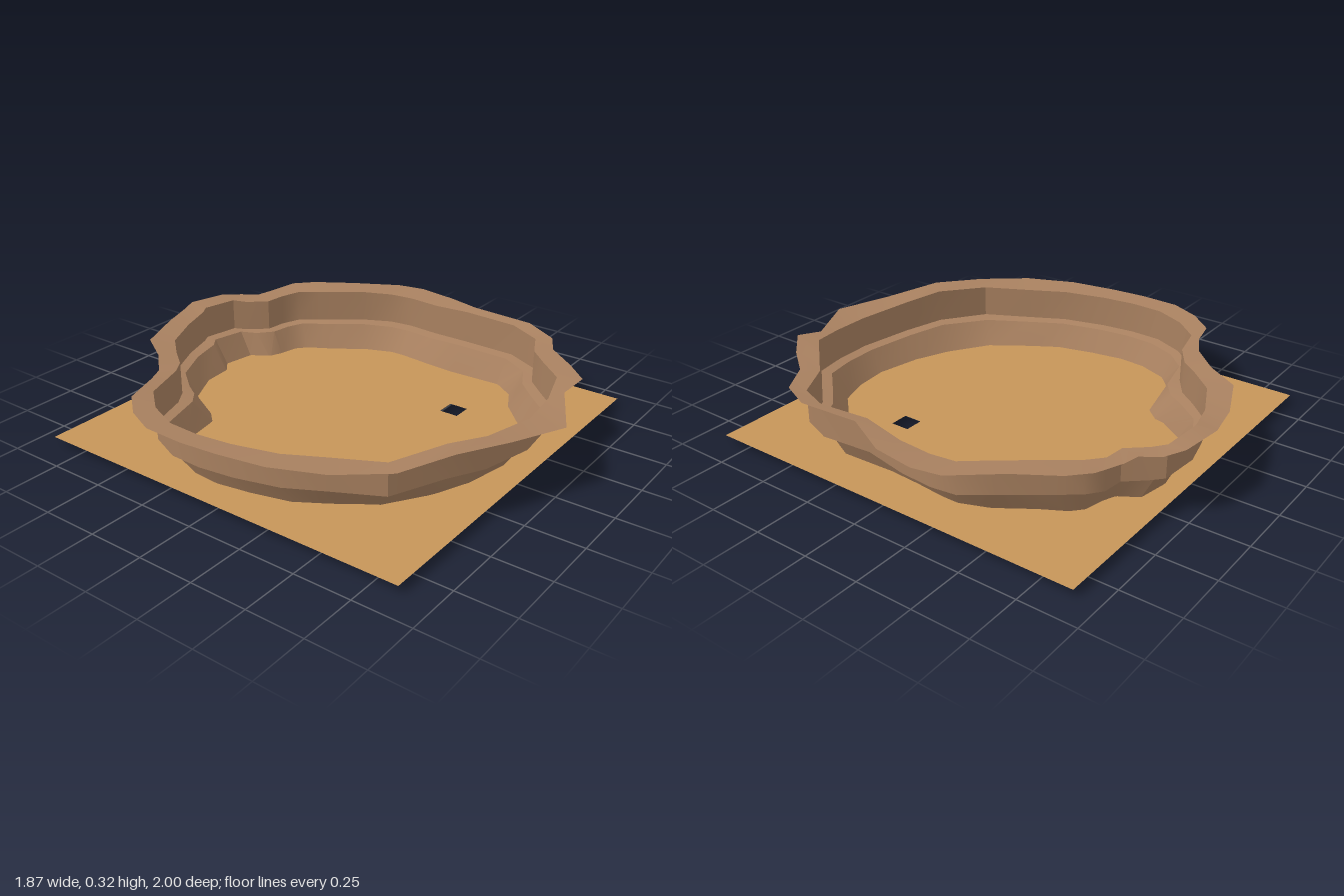
import * as THREE from 'three';
import { toCreasedNormals } from 'three/addons/utils/BufferGeometryUtils.js';

// Plan outlines as x, z pairs, running from the back round by the +x side
const RIM = [
  0.08, -1, 0.26, -0.97, 0.335, -0.92, 0.39, -0.845, 0.46, -0.83, 0.59, -0.79, 0.67, -0.715,
  0.775, -0.55, 0.91, -0.36, 0.935, -0.235, 0.91, -0.05, 0.83, 0.13, 0.835, 0.415, 0.76, 0.57,
  0.63, 0.64, 0.525, 0.775, 0.41, 0.885, 0.29, 0.865, 0.04, 1, -0.2, 0.9, -0.435, 0.8,
  -0.645, 0.685, -0.795, 0.5, -0.885, 0.285, -0.92, 0.08, -0.935, -0.085, -0.93, -0.265, -0.87, -0.4,
  -0.775, -0.51, -0.625, -0.55, -0.535, -0.6, -0.425, -0.715, -0.33, -0.865, -0.115, -0.955, 0, -0.98,
];
const WALL = [
  0.08, -0.91, 0.25, -0.89, 0.29, -0.84, 0.36, -0.76, 0.45, -0.75, 0.525, -0.705, 0.59, -0.62,
  0.715, -0.455, 0.795, -0.33, 0.81, -0.22, 0.8, -0.07, 0.775, 0.12, 0.785, 0.36, 0.725, 0.505,
  0.58, 0.575, 0.495, 0.665, 0.38, 0.785, 0.22, 0.83, 0.04, 0.845, -0.2, 0.795, -0.37, 0.725,
  -0.585, 0.61, -0.685, 0.415, -0.77, 0.255, -0.82, 0.065, -0.84, -0.09, -0.835, -0.235, -0.775, -0.375,
  -0.68, -0.485, -0.5, -0.535, -0.415, -0.595, -0.35, -0.68, -0.255, -0.785, -0.085, -0.865, 0.05, -0.9,
];
const FOOT = [
  0.11, -0.81, 0.25, -0.785, 0.3, -0.705, 0.36, -0.68, 0.445, -0.66, 0.49, -0.62, 0.555, -0.505,
  0.64, -0.38, 0.69, -0.25, 0.69, -0.185, 0.68, -0.07, 0.67, 0.105, 0.68, 0.345, 0.615, 0.44,
  0.51, 0.495, 0.415, 0.585, 0.33, 0.675, 0.2, 0.72, 0.045, 0.735, -0.155, 0.695, -0.3, 0.635,
  -0.49, 0.51, -0.605, 0.345, -0.675, 0.23, -0.72, 0.055, -0.735, -0.085, -0.725, -0.21, -0.68, -0.335,
  -0.6, -0.405, -0.37, -0.455, -0.32, -0.51, -0.31, -0.56, -0.235, -0.675, -0.085, -0.75, 0.05, -0.76,
];
// Unevenness of the bank, in hundredths
const LIFT = [2, 1, 0, 0, 0, 1, 1, 1, 0, 0, 0, 2, 1, 0, 1, 1, 2, 0, -1, 0, 2, 0, 0, 0, 0, 0, 0, 0, 0, 1, 0, 0, 0, 0, 1];

const ring = (plan, height) => LIFT.map((lift, i) => {
  const x = plan[2 * i], z = plan[2 * i + 1];
  return new THREE.Vector3(x, height(lift / 100, x, z), z);
});

// Closed strip of quads from an upper/outer ring to a lower/inner one
function band(outer, inner) {
  const n = outer.length, index = [];
  for (let i = 0; i < n; i++) {
    const j = (i + 1) % n;
    index.push(i, j, n + i, j, n + j, n + i);
  }
  const g = new THREE.BufferGeometry().setFromPoints([...outer, ...inner]);
  g.setIndex(index);
  return toCreasedNormals(g, 0.5);
}

export function createModel() {
  const earth = new THREE.MeshStandardMaterial({ color: 0xa98160, side: THREE.DoubleSide });
  earth.name = 'brown earth';
  const sand = new THREE.MeshStandardMaterial({ color: 0xc69559, side: THREE.DoubleSide });
  sand.name = 'tan sand';

  const group = new THREE.Group();
  group.name = 'sunkenBasin';
  const add = (name, geometry, material) => {
    const mesh = new THREE.Mesh(geometry, material);
    mesh.name = name;
    group.add(mesh);
  };

  // Stepped bank: rim, upper wall, narrow ledge, sloping lower wall
  const rim = ring(RIM, (l) => 0.3 + l);
  const wallTop = ring(WALL, (l) => 0.292 + l);
  const wallBase = ring(WALL, (l) => 0.148 + l * 0.7);
  const foot = ring(FOOT, (l, x, z) => (x < -0.55 && z < -0.05 ? 0 : 0.02));
  const ledge = wallBase.map((p, i) => {
    const q = p.clone().lerp(foot[i], 0.4);
    q.y = p.y - 0.008;
    return q;
  });
  add('rim', band(rim, wallTop), earth);
  add('upperWall', band(wallTop, wallBase), earth);
  add('ledge', band(wallBase, ledge), earth);
  add('lowerWall', band(ledge, foot), earth);

  // Flat floor sheet with one small square opening
  const rect = (path, x0, x1, y0, y1) =>
    path.moveTo(x0, y0).lineTo(x1, y0).lineTo(x1, y1).lineTo(x0, y1).closePath();
  const sheet = new THREE.Shape();
  rect(sheet, -0.88, 0.88, -0.86, 0.9);
  const opening = new THREE.Path();
  rect(opening, 0.3, 0.385, -0.365, -0.28);
  sheet.holes.push(opening);
  add('floor', new THREE.ShapeGeometry(sheet).rotateX(-Math.PI / 2).translate(0, 0.035, 0), sand);

  return group;
}
